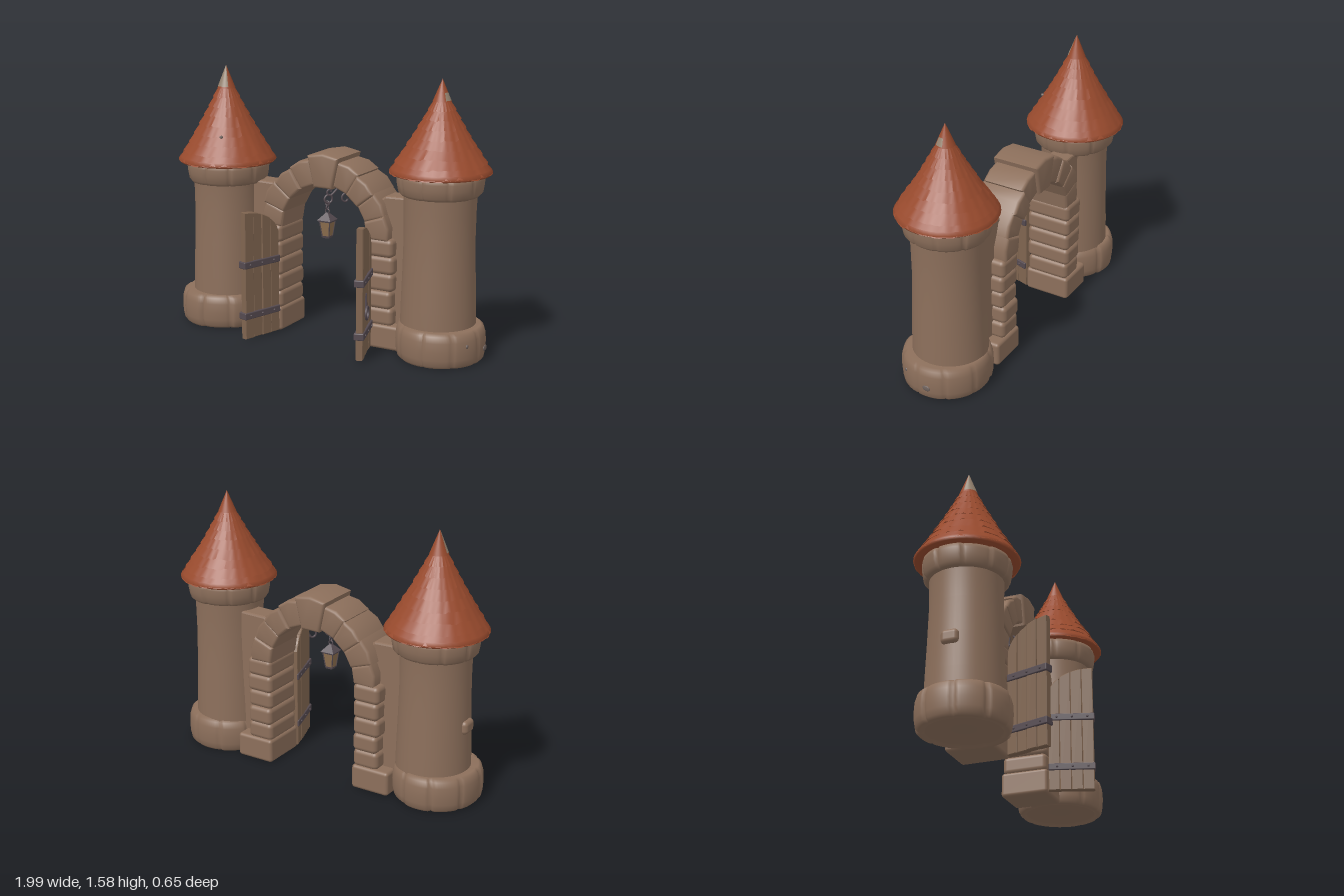
import * as THREE from 'three';
import { RoundedBoxGeometry } from 'three/addons/geometries/RoundedBoxGeometry.js';
import { toCreasedNormals } from 'three/addons/utils/BufferGeometryUtils.js';

const mat = (name, color, side = THREE.FrontSide) => {
  const m = new THREE.MeshStandardMaterial({ color, side });
  m.name = name;
  return m;
};

export function createModel() {
  const stone = mat('stone', 0x8c6f5b);
  const tile = mat('roof tile', 0x984a2d, THREE.DoubleSide);
  const wood = mat('door wood', 0x806550);
  const iron = mat('dark iron', 0x554a50);
  const worn = mat('worn patch', 0x94826f, THREE.DoubleSide);
  const spot = mat('grey spot', 0x6f625d);
  const pane = mat('lantern pane', 0x8c6e4e);

  let seed = 7;
  const rnd = () => (seed = (seed * 16807) % 2147483647) / 2147483647;
  const jit = (a) => (rnd() - 0.5) * 2 * a;
  const root = new THREE.Group();
  root.name = 'gatehouse';

  const add = (parent, name, geo, material, x = 0, y = 0, z = 0) => {
    const m = new THREE.Mesh(geo, material);
    m.name = name;
    m.position.set(x, y, z);
    parent.add(m);
    return m;
  };
  const group = (parent, name, x = 0, y = 0, z = 0) => {
    const g = new THREE.Group();
    g.name = name;
    g.position.set(x, y, z);
    parent.add(g);
    return g;
  };
  const lathe = (pts, seg) => new THREE.LatheGeometry(pts.map((p) => new THREE.Vector2(...p)), seg);

  // Ring of rounded stones: a lathe pinched inwards at each joint
  const stoneRing = (pts, n, groove) => {
    const geo = lathe(pts, n * 12);
    const p = geo.attributes.position;
    const size = Array.from({ length: n }, () => jit(0.025));
    const R = Math.max(...pts.map((q) => q[0]));
    for (let i = 0; i < p.count; i++) {
      const x = p.getX(i), z = p.getZ(i), r = Math.hypot(x, z);
      if (r < R * 0.85) continue;
      const t = ((Math.atan2(x, z) / (2 * Math.PI) + 1.0001) % 1) * n;
      const e = Math.min(t % 1, 1 - (t % 1));
      const pinch = Math.exp(-((e / 0.06) ** 2));
      const k = 1 - groove * pinch + size[Math.floor(t) % n] * (1 - pinch);
      p.setX(i, x * k);
      p.setZ(i, z * k);
    }
    geo.computeVertexNormals();
    return geo;
  };

  // Gently hollow roof line: overlapping tile rows up to a plain pointed tip
  const TIP = 0.76;
  const flare = (t) => (1 - t) ** 1.23;
  const roof = (g, R, y0, H) => {
    const rows = 8, seg = 72;
    for (let k = 0; k < rows; k++) {
      const a = (k / rows) * TIP, b = ((k + 1.15) / rows) * TIP;
      const geo = new THREE.CylinderGeometry(R * flare(b) - 0.002, R * flare(a) + (k ? 0.004 : 0), (b - a) * H, seg, 1, true);
      const p = geo.attributes.position;
      const drop = Array.from({ length: seg / 3 }, () => jit(0.006));
      for (let i = seg + 1; i < p.count; i++) {
        const j = (i - seg - 1) % seg;
        const gap = j % 3 === 0 ? 0.005 : 0;
        p.setY(i, p.getY(i) + drop[Math.floor(j / 3)] * (1 - a) + gap);
      }
      add(g, 'roofTileRow', toCreasedNormals(geo, 0.6), tile, 0, y0 + ((a + b) / 2) * H, 0);
    }
    add(g, 'roofTip', new THREE.ConeGeometry(R * flare(TIP) + 0.003, (1 - TIP) * H, 32, 1, true), tile, 0, y0 + ((1 + TIP) / 2) * H, 0);
    // Thick eave and underside
    add(g, 'roofEave', lathe([[0.15, y0 + 0.02], [R - 0.03, y0 - 0.008], [R - 0.008, y0 - 0.006], [R, y0 + 0.006], [R - 0.012, y0 + 0.025]], 48), tile);
    // Worn patch lying on the tip, between two heights (0 to 1) and two angles
    return (h0, h1, from, sweep) => {
      const r = (h) => (R * flare(TIP) + 0.003) * (1 - h) + 0.0012;
      const tall = (1 - TIP) * H;
      add(g, 'wornRoofTip', new THREE.CylinderGeometry(r(h1), r(h0), (h1 - h0) * tall, 16, 1, true, from, sweep), worn, 0, y0 + TIP * H + ((h0 + h1) / 2) * tall, 0);
    };
  };

  const tower = (name, s, c, R, apex) => {
    const g = group(root, name, s * 0.705, 0, -0.03);
    add(g, 'towerBase', stoneRing([[0, 0.02], [0.2, 0.02], [0.205, 0], [0.235, 0], [0.25, 0.015], [0.257, 0.05], [0.26, 0.1], [0.257, 0.15], [0.247, 0.185], [0.228, 0.2], [0, 0.2]], 9, 0.05), stone, s * 0.023, 0, 0.01);
    add(g, 'towerBody', lathe([[0.215, 0.18], [0.212, 0.3], [0.205, 0.5], [0.2, 0.7], [0.202, 0.85], [0.207, c + 0.03]], 48), stone);
    add(g, 'towerCollar', stoneRing([[0.19, c - 0.01], [0.22, c - 0.005], [0.236, c + 0.012], [0.243, c + 0.05], [0.247, c + 0.09], [0.24, c + 0.115], [0.22, c + 0.125], [0, c + 0.13]], 10, 0.035), stone);
    return [g, roof(g, R, c + 0.12, apex - c - 0.12)];
  };
  const [rightTower, rightPatch] = tower('rightTower', -1, 0.875, 0.293, 1.56);
  const [leftTower, leftPatch] = tower('leftTower', 1, 0.94, 0.286, 1.575);

  // Worn details on the towers
  rightPatch(0.08, 0.97, -1.7, 2.5);
  leftPatch(0.05, 0.4, 0.85, 0.95);
  add(rightTower, 'protrudingStone', new RoundedBoxGeometry(0.055, 0.08, 0.1, 4, 0.025), stone, -0.2, 0.465, 0);
  const blot = (g, name, x, y, z, sx, sy, sz) => add(g, name, new THREE.SphereGeometry(1, 12, 8), spot, x, y, z).scale.set(sx, sy, sz);
  blot(rightTower, 'roofHole', 0.08, 1.16, 0.182, 0.01, 0.009, 0.012);
  blot(leftTower, 'baseSpot', 0.281, 0.08, -0.02, 0.005, 0.017, 0.025);
  blot(leftTower, 'baseSpot', 0.241, 0.125, 0.135, 0.007, 0.011, 0.011);

  // Archway: bevelled wedges around a half circle, piers below
  const arch = group(root, 'archway', 0, 0, -0.085);
  const wedge = (a0, a1, r0, r1, depth) => {
    const b = 0.018, sh = new THREE.Shape();
    const at = (a, r) => [Math.cos(a) * r, 0.64 + Math.sin(a) * r];
    const d0 = (b - 0.003) / r0, d1 = (b - 0.003) / r1, m = (a0 + a1) / 2;
    sh.moveTo(...at(a0 + d0, r0 + b));
    sh.lineTo(...at(a0 + d1, r1 - b));
    sh.lineTo(...at(m, r1 - b + 0.008));
    sh.lineTo(...at(a1 - d1, r1 - b));
    sh.lineTo(...at(a1 - d0, r0 + b));
    const geo = new THREE.ExtrudeGeometry(sh, { depth: depth - 2 * b, bevelSize: b, bevelThickness: b, bevelSegments: 3 });
    geo.translate(0, 0, -depth / 2 + b);
    return toCreasedNormals(geo, 0.7);
  };
  const half = 0.22, step = (Math.PI / 2 - half) / 4;
  add(arch, 'keystone', wedge(Math.PI / 2 - half, Math.PI / 2 + half, 0.265, 0.457, 0.29), stone);
  for (const s of [1, -1]) {
    for (let i = 0; i < 4; i++) {
      const a = s > 0 ? i * step : Math.PI - (i + 1) * step;
      add(arch, 'archStone', wedge(a, a + step, 0.28, 0.424 + jit(0.008), 0.27 + jit(0.012)), stone);
    }
    for (let i = 0; i < 5; i++) {
      const w = 0.162 + jit(0.008);
      add(arch, 'pierStone', new RoundedBoxGeometry(w, 0.108, 0.272 + jit(0.012), 4, 0.028), stone, s * (0.283 + w / 2), 0.19 + i * 0.101, 0);
    }
    add(arch, 'pierFoot', new RoundedBoxGeometry(0.24, 0.145, 0.285, 3, 0.02), stone, s * 0.4, 0.0725, 0);
    // Low wall joining the arch to its tower
    const wall = new THREE.Shape();
    wall.moveTo(s * 0.36, 0.05);
    wall.lineTo(s * 0.36, 0.8);
    wall.lineTo(s * 0.34, 0.85);
    wall.lineTo(s * 0.38, 0.875);
    wall.lineTo(s * 0.55, 0.88);
    wall.lineTo(s * 0.55, 0.05);
    const wg = new THREE.ExtrudeGeometry(wall, { depth: 0.11, bevelSize: 0.012, bevelThickness: 0.012, bevelSegments: 2 });
    add(arch, 'sideWall', wg, stone, 0, 0, -0.045);
  }

  // Open doors: four planks with a curved top line, two iron straps
  for (const s of [1, -1]) {
    const door = group(root, s > 0 ? 'leftDoor' : 'rightDoor', s * 0.305, 0, 0.06);
    door.rotation.y = Math.atan2(-0.255, s * 0.078);
    const top = (x) => 0.585 + 0.178 * Math.sqrt(Math.max(0, 1 - ((0.265 - x) / 0.265) ** 2));
    for (let i = 0; i < 4; i++) {
      const x0 = i * 0.066 + 0.004, x1 = x0 + 0.059, sh = new THREE.Shape();
      sh.moveTo(x0, 0.012);
      sh.lineTo(x1, 0.012);
      for (let k = 0; k <= 4; k++) {
        const x = x1 + ((x0 - x1) * k) / 4;
        sh.lineTo(x, top(x));
      }
      const geo = new THREE.ExtrudeGeometry(sh, { depth: 0.032, bevelSize: 0.004, bevelThickness: 0.004, bevelSegments: 1 });
      add(door, 'doorPlank', geo, wood, 0, 0, -0.016 + jit(0.004));
    }
    for (const y of [0.148, 0.455]) {
      add(door, 'doorStrap', new RoundedBoxGeometry(0.272, 0.042, 0.058, 2, 0.006), iron, 0.137, y, 0);
      for (const x of [0.05, 0.14, 0.23]) for (const z of [-0.029, 0.029]) add(door, 'strapRivet', new THREE.SphereGeometry(0.007, 8, 6), iron, x, y, z);
    }
    if (s > 0) {
      add(door, 'doorRing', new THREE.TorusGeometry(0.036, 0.007, 8, 24), iron, 0.213, 0.275, -0.036);
      add(door, 'ringHanger', new THREE.CylinderGeometry(0.005, 0.007, 0.09, 8), iron, 0.213, 0.345, -0.03);
    }
  }

  // Hanging lantern with chain
  const lamp = group(root, 'lantern', 0.003, 0, 0);
  const four = (name, rt, rb, h, y, m) => {
    add(lamp, name, toCreasedNormals(new THREE.CylinderGeometry(rt, rb, h, 4), 0.3), m, 0, y, 0).rotation.y = Math.PI / 4;
  };
  four('lanternCap', 0.012, 0.062, 0.04, 0.728, iron);
  four('lanternRim', 0.058, 0.054, 0.01, 0.703, iron);
  four('lanternGlass', 0.046, 0.031, 0.088, 0.655, pane);
  four('lanternFoot', 0.034, 0.028, 0.014, 0.607, iron);
  for (let i = 0; i < 4; i++) {
    const a = Math.PI / 4 + (i * Math.PI) / 2, c = Math.cos(a), d = Math.sin(a);
    const line = new THREE.LineCurve3(new THREE.Vector3(c * 0.031, 0.607, d * 0.031), new THREE.Vector3(c * 0.048, 0.703, d * 0.048));
    add(lamp, 'lanternPost', new THREE.TubeGeometry(line, 1, 0.0035, 6), iron);
  }
  for (let i = 0; i < 3; i++) {
    const link = add(lamp, 'chainLink', new THREE.TorusGeometry(0.013, 0.004, 6, 14), iron, 0, 0.758 + i * 0.024, 0);
    link.rotation.y = (i % 2) * (Math.PI / 2);
  }

  // Scrolled bracket running back under the keystone
  const bracket = group(lamp, 'bracket');
  bracket.rotation.y = 0.9;
  add(bracket, 'hookRing', new THREE.TorusGeometry(0.024, 0.006, 8, 18), iron, 0.006, 0.83, 0);
  const spiral = (cx, cy, r, turn, dir, end) => {
    const pts = Array.from({ length: 13 }, (_, i) => {
      const a = turn + (dir * i * Math.PI * 1.6) / 12, q = r * (0.35 + (0.65 * i) / 12);
      return new THREE.Vector3(cx + Math.cos(a) * q, cy + Math.sin(a) * q, 0);
    });
    pts.push(new THREE.Vector3(...end));
    return new THREE.TubeGeometry(new THREE.CatmullRomCurve3(pts), 40, 0.006, 6);
  };
  add(bracket, 'bracketScroll', spiral(0.115, 0.825, 0.032, 0, -1, [0.12, 0.915, 0]), iron);
  add(bracket, 'bracketScroll', spiral(0.015, 0.872, 0.022, 0, 1, [0.09, 0.915, 0]), iron);
  return root;
}
